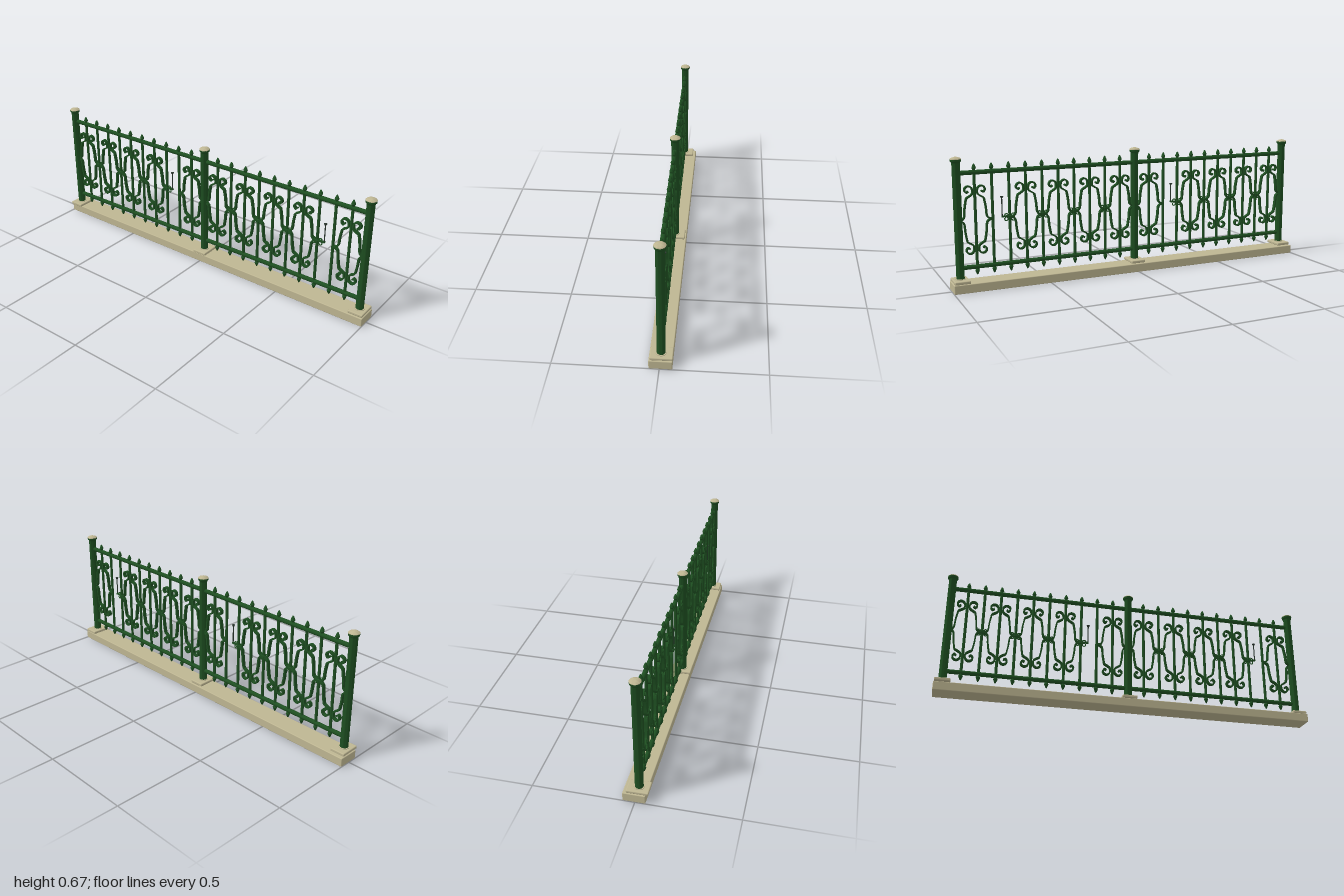
import * as THREE from 'three';
import { toCreasedNormals } from 'three/addons/utils/BufferGeometryUtils.js';
import { RoundedBoxGeometry } from 'three/addons/geometries/RoundedBoxGeometry.js';

const green = new THREE.MeshStandardMaterial({ color: 0x1e4f21 });
green.name = 'green paint';
const stone = new THREE.MeshStandardMaterial({ color: 0xbeb692 });
stone.name = 'pale stone';
const iron = new THREE.MeshStandardMaterial({ color: 0x2a362e });
iron.name = 'dark iron';

const POST_GAP = 0.957, STEP = POST_GAP / 11, MID = 0.355;
const v2 = (x, y) => new THREE.Vector2(x, y);

function add(parent, name, geometry, material, x = 0, y = 0, z = 0) {
  const mesh = new THREE.Mesh(geometry, material);
  mesh.name = name;
  mesh.position.set(x, y, z);
  parent.add(mesh);
  return mesh;
}

function lathe(points, sides) {
  return toCreasedNormals(new THREE.LatheGeometry(points.map(p => v2(...p)), sides), 0.7);
}

// Flat strap bent along a curve in the z-y plane, with its width across x
function strap(points, thickness, width, samples) {
  const curve = new THREE.SplineCurve(points.map(p => v2(...p)));
  const outer = [], inner = [];
  for (let i = 0; i <= samples; i++) {
    const p = curve.getPoint(i / samples), t = curve.getTangent(i / samples);
    const n = v2(-t.y, t.x).multiplyScalar(thickness / 2);
    outer.push(p.clone().add(n));
    inner.unshift(p.clone().sub(n));
  }
  const geometry = new THREE.ExtrudeGeometry(new THREE.Shape([...outer, ...inner]),
    { depth: width, bevelEnabled: false });
  geometry.translate(0, 0, -width / 2).rotateY(Math.PI / 2);
  return toCreasedNormals(geometry, 0.7);
}

// One quarter of a lyre scroll, measured from its centre
const quarter = [[0.085, 0.001], [0.07, 0.004], [0.06, 0.012], [0.056, 0.024], [0.053, 0.06],
  [0.047, 0.095], [0.043, 0.11], [0.03, 0.118], [0.014, 0.13], [0.012, 0.148],
  [0.017, 0.162], [0.031, 0.17], [0.046, 0.164], [0.051, 0.15], [0.042, 0.138], [0.033, 0.145]];
const quarterGeometries = [];
for (const sz of [1, -1]) for (const sy of [1, -1]) {
  quarterGeometries.push(strap(quarter.map(([z, y]) => [z * sz, y * sy]), 0.008, 0.018, 48));
}

const barGeometry = new THREE.CylinderGeometry(0.0075, 0.0075, 0.5, 10);
const spearGeometry = lathe([[0, 0], [0.0075, 0], [0.0075, 0.006], [0.0115, 0.013],
  [0.0095, 0.02], [0.004, 0.033], [0, 0.037]], 10);
const railGeometry = new THREE.CylinderGeometry(0.0115, 0.0115, POST_GAP, 12).rotateX(Math.PI / 2);
const curlGeometry = new THREE.TorusGeometry(0.009, 0.003, 6, 14).rotateY(Math.PI / 2);
const collarGeometry = new RoundedBoxGeometry(0.021, 0.018, 0.018, 2, 0.004);

function createPost(z) {
  const post = new THREE.Group();
  post.name = 'post';
  post.position.z = z;
  add(post, 'postPlate', new RoundedBoxGeometry(0.107, 0.016, 0.08, 2, 0.005), stone, 0.002, 0.055, 0);
  add(post, 'postCollar', lathe([[0, 0.06], [0.026, 0.06], [0.026, 0.066], [0, 0.066]], 24), stone);
  add(post, 'postShaft', lathe([[0, 0.06], [0.0205, 0.06], [0.0205, 0.64], [0.022, 0.646],
    [0.0265, 0.65], [0.0275, 0.656], [0.0275, 0.661], [0, 0.661]], 24), green);
  add(post, 'postCap', lathe([[0, 0.66], [0.0275, 0.66], [0.0275, 0.663], [0.023, 0.667],
    [0.012, 0.671], [0, 0.674]], 24), stone);
  return post;
}

function createPanel(start) {
  const panel = new THREE.Group();
  panel.name = 'fencePanel';
  for (const y of [0.592, 0.118]) add(panel, 'rail', railGeometry, green, 0, y, start - POST_GAP / 2);

  for (let i = 1; i <= 10; i++) {
    const z = start - i * STEP;
    // Pointed upright bar
    add(panel, 'bar', barGeometry, green, 0, 0.355, z);
    add(panel, 'topSpear', spearGeometry, green, 0, 0.6, z);
    add(panel, 'bottomSpear', spearGeometry, green, 0, 0.112, z).rotation.x = Math.PI;

    // Lyre scroll around the bar
    if ([1, 4, 6, 8, 10].includes(i)) {
      for (const g of quarterGeometries) add(panel, 'lyreScroll', g, green, 0, MID, z);
    }
    // Small rosette where neighbouring lyres meet
    if ([3, 5, 7, 9].includes(i)) {
      add(panel, 'rosetteCollar', collarGeometry, green, 0, MID, z);
      for (const sz of [1, -1]) for (const sy of [1, -1]) {
        add(panel, 'rosetteCurl', curlGeometry, green, 0, MID + sy * 0.009, z + sz * 0.018);
      }
    }
  }

  // Slim latch pin beside the first rosette
  const pinZ = start - 0.222;
  add(panel, 'latchPin', new THREE.CylinderGeometry(0.003, 0.003, 0.1, 8), iron, 0, 0.41, pinZ);
  add(panel, 'latchPinHead', new THREE.CylinderGeometry(0.009, 0.005, 0.007, 10), iron, 0, 0.459, pinZ);
  add(panel, 'latchPinFoot', new THREE.BoxGeometry(0.012, 0.007, 0.034), green, 0, 0.36, pinZ - 0.014);
  return panel;
}

export function createModel() {
  const model = new THREE.Group();
  model.name = 'ornamentalFence';
  add(model, 'baseBeam', new RoundedBoxGeometry(0.11, 0.046, 2, 2, 0.004), stone, 0.005, 0.023, 0);

  // Railing runs very slightly askew along the base
  const railing = new THREE.Group();
  railing.name = 'railing';
  railing.position.x = -0.003;
  railing.rotation.y = 0.0094;
  for (const z of [POST_GAP, 0, -POST_GAP]) railing.add(createPost(z));
  for (const start of [POST_GAP, 0]) railing.add(createPanel(start));
  model.add(railing);
  return model;
}
